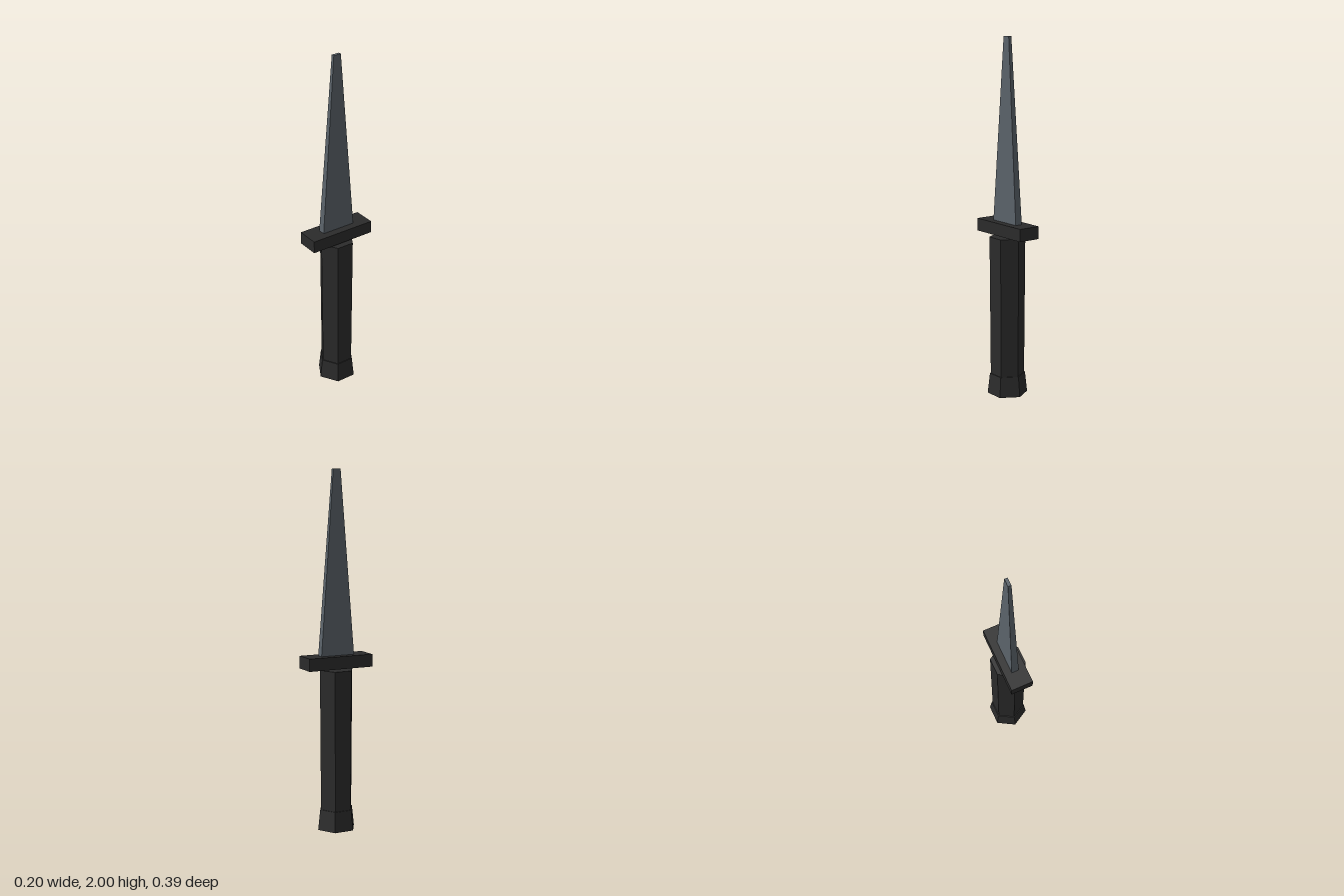
import * as THREE from 'three';

export function createModel() {
  const group = new THREE.Group();
  const black = new THREE.MeshStandardMaterial({ color: 0x2b2b2b, flatShading: true });
  black.name = 'matte black';
  const steel = new THREE.MeshStandardMaterial({ color: 0x5a6269, flatShading: true });
  steel.name = 'dull steel';

  function add(name, geometry, material, bottom, top) {
    const mesh = new THREE.Mesh(geometry, material);
    mesh.name = name;
    mesh.position.y = (bottom + top) / 2;
    group.add(mesh);
  }

  // Six-sided section with points towards front and back
  function hexSection(name, rTop, rBottom, bottom, top) {
    add(name, new THREE.CylinderGeometry(rTop, rBottom, top - bottom, 6), black, bottom, top);
  }
  hexSection('pommel', 0.1, 0.113, 0, 0.115);
  hexSection('grip', 0.1, 0.095, 0.115, 0.905);

  // Crossguard, floating just above the grip
  add('crossguard', new THREE.BoxGeometry(0.128, 0.07, 0.386), black, 0.915, 0.985);

  // Blade: a box narrowed to a blunt tip
  const blade = new THREE.BoxGeometry(0.042, 1.015, 0.2);
  const p = blade.attributes.position;
  for (let i = 0; i < p.count; i++) {
    if (p.getY(i) > 0) {
      p.setX(i, Math.sign(p.getX(i)) * 0.009);
      p.setZ(i, Math.sign(p.getZ(i)) * 0.022);
    }
  }
  blade.computeVertexNormals();
  add('blade', blade, steel, 0.985, 2);

  return group;
}
